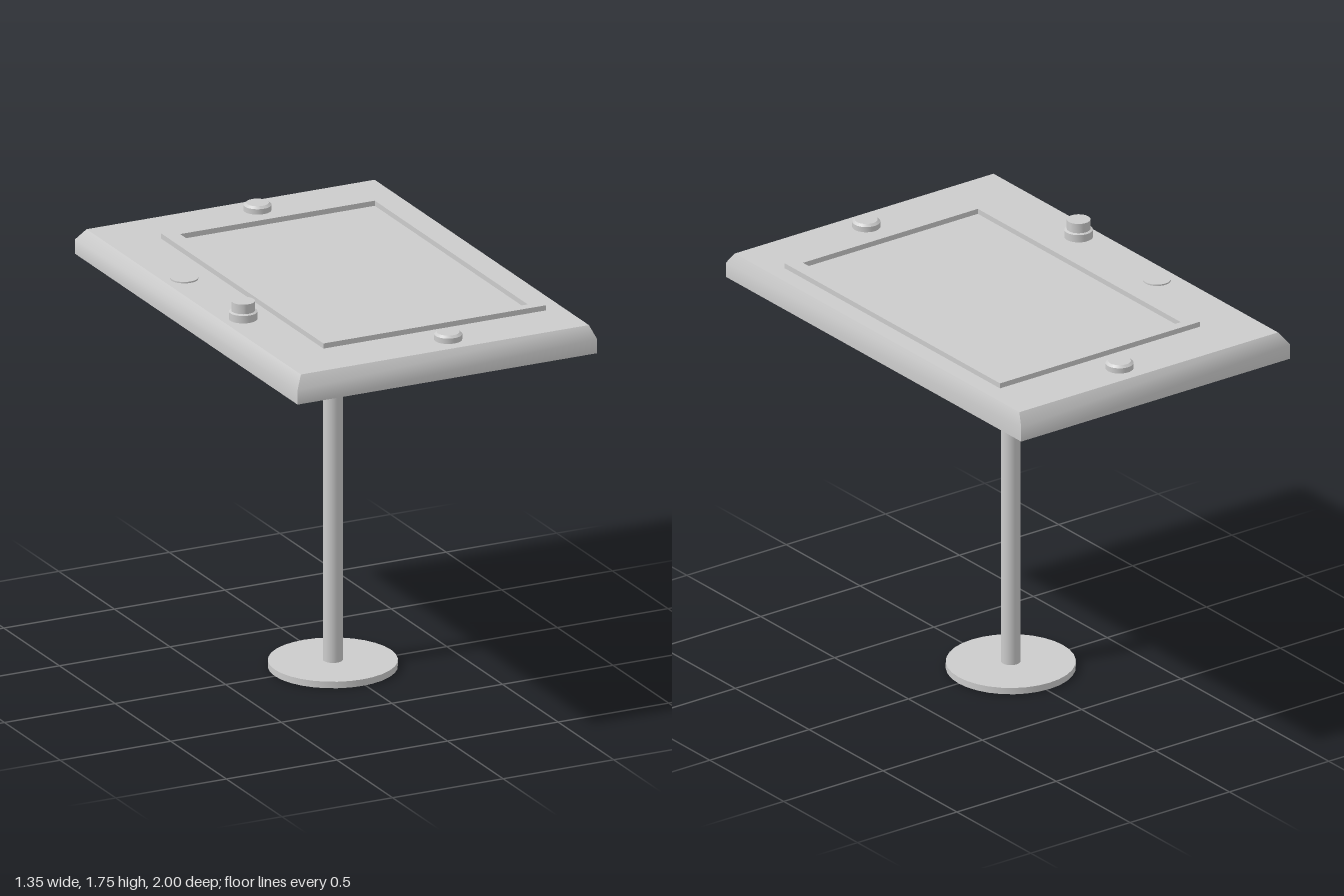
import * as THREE from 'three';
import { toCreasedNormals } from 'three/addons/utils/BufferGeometryUtils.js';

const material = new THREE.MeshStandardMaterial({ color: 0xcccccc });
const openMaterial = new THREE.MeshStandardMaterial({ color: 0xcccccc, side: THREE.DoubleSide });
const AXIS = -0.015; // x of the pole

function add(group, name, geometry, x = 0, y = 0, z = 0, mat = material) {
  const mesh = new THREE.Mesh(geometry, mat);
  mesh.name = name;
  mesh.position.set(x, y, z);
  group.add(mesh);
  return mesh;
}

// Turned part from [radius, height] points, with crisp edges
function turned(points, segments = 32) {
  const lathe = new THREE.LatheGeometry(points.map(([r, y]) => new THREE.Vector2(r, y)), segments);
  return toCreasedNormals(lathe, 0.6);
}

// Slab lofted through rectangles [x0, x1, z0, z1, y], listed from bottom to top
function slab(levels) {
  const pos = [];
  const index = [];
  for (const [x0, x1, z0, z1, y] of levels) {
    pos.push(x0, y, z1, x1, y, z1, x1, y, z0, x0, y, z0);
  }
  for (let l = 0; l < levels.length - 1; l++) {
    for (let i = 0; i < 4; i++) {
      const a = l * 4 + i;
      const b = l * 4 + (i + 1) % 4;
      index.push(a, b, b + 4, a, b + 4, a + 4);
    }
  }
  const t = (levels.length - 1) * 4;
  index.push(0, 2, 1, 0, 3, 2, t, t + 1, t + 2, t, t + 2, t + 3);
  const geometry = new THREE.BufferGeometry();
  geometry.setAttribute('position', new THREE.Float32BufferAttribute(pos, 3));
  geometry.setIndex(index);
  return toCreasedNormals(geometry, 0.8);
}

function rectangle(Type, x0, x1, z) {
  return new Type([[x0, -z], [x1, -z], [x1, z], [x0, z]].map(([x, y]) => new THREE.Vector2(x, y)));
}

export function createModel() {
  const model = new THREE.Group();
  model.name = 'pedestalTable';

  // Stand: base plate with a bore, hollow pole, round mounting plate
  add(model, 'basePlate', turned([[0.035, 0], [0.263, 0], [0.263, 0.028], [0.035, 0.028], [0.035, 0]]), AXIS);
  add(model, 'pole', new THREE.CylinderGeometry(0.04, 0.04, 1.525, 32, 1, true), AXIS, 0.7635, 0, openMaterial);
  add(model, 'mountingPlate', turned([[0, 1.525], [0.335, 1.525], [0.335, 1.557], [0, 1.557]], 40), AXIS);

  // Bent braces on both sides of the pole
  const braceShape = new THREE.Shape([
    [0.03, 1.313], [0.135, 1.335], [0.22, 1.53], [0.178, 1.53], [0.111, 1.364], [0.03, 1.344],
  ].map(([x, y]) => new THREE.Vector2(x, y)));
  const brace = new THREE.ExtrudeGeometry(braceShape, { depth: 0.03, bevelEnabled: false });
  brace.translate(0, 0, -0.015);
  add(model, 'leftBrace', brace, AXIS);
  add(model, 'rightBrace', brace, AXIS).rotation.y = Math.PI;

  // Table top with a bevelled rim
  add(model, 'tableTop', slab([
    [-0.678, 0.676, -1, 1, 1.556],
    [-0.678, 0.676, -1, 1, 1.618],
    [-0.644, 0.658, -0.963, 0.963, 1.668],
  ]));

  // Raised frame around the panel
  const frameShape = rectangle(THREE.Shape, -0.425, 0.582, 0.73);
  frameShape.holes.push(rectangle(THREE.Path, -0.36, 0.52, 0.687));
  const frame = new THREE.ExtrudeGeometry(frameShape, { depth: 0.026, bevelEnabled: false });
  frame.rotateX(-Math.PI / 2);
  add(model, 'panelFrame', frame, 0, 1.664, 0);

  // Low buttons at both ends
  const button = turned([[0.057, 0], [0.057, 0.025], [0.046, 0.034], [0, 0.034]]);
  add(model, 'frontButton', button, 0.075, 1.666, 0.857);
  add(model, 'backButton', button, 0.075, 1.666, -0.857);

  // Stepped knob and flat disc along the right edge
  add(model, 'knob', turned([[0.058, 0], [0.058, 0.034], [0.048, 0.038], [0.048, 0.079], [0, 0.079]]), -0.555, 1.666, 0.267);
  add(model, 'flatDisc', turned([[0.057, 0], [0.057, 0.008], [0, 0.008]]), -0.555, 1.666, -0.263);

  return model;
}
